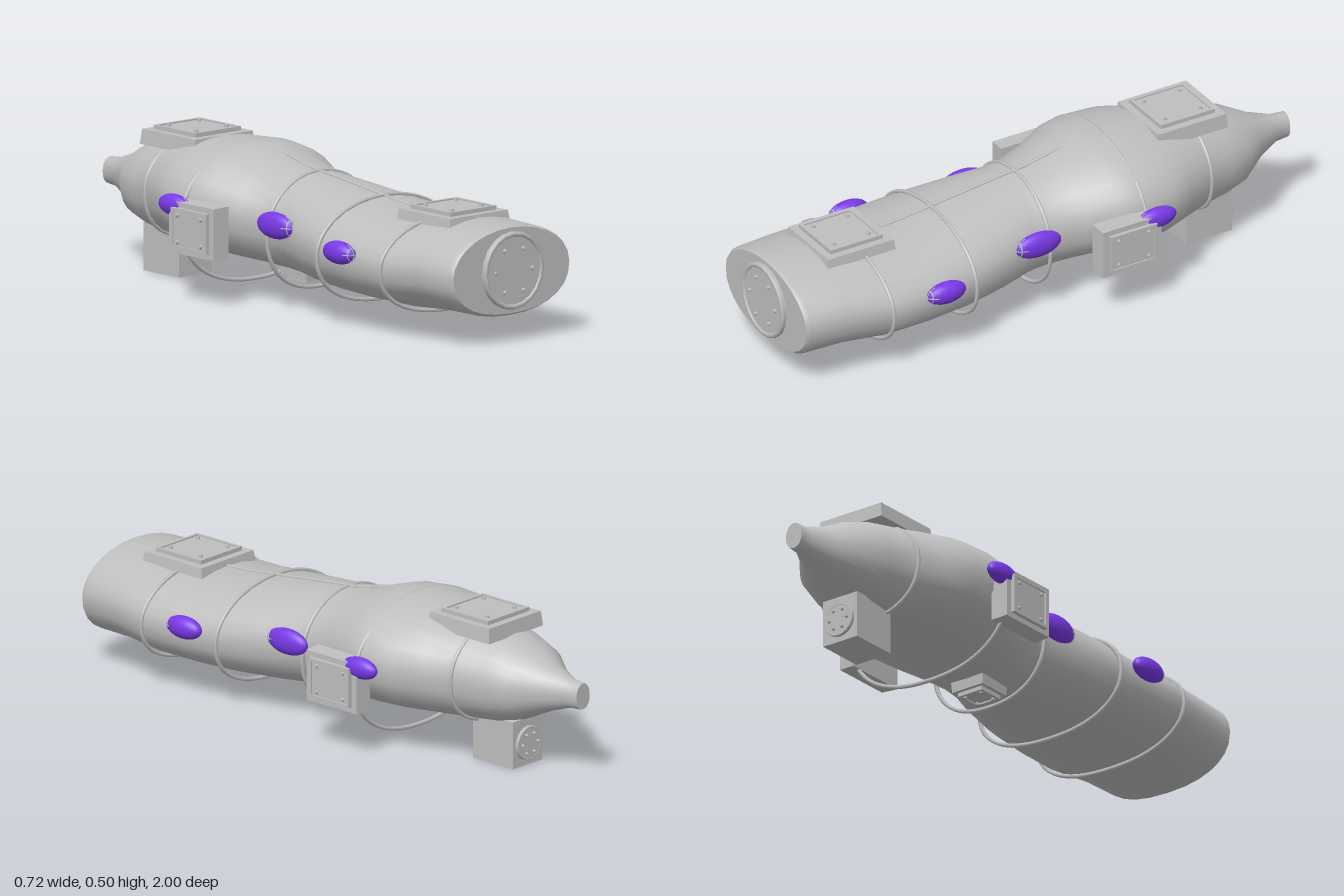
import * as THREE from 'three';

const grey = new THREE.MeshStandardMaterial({ color: 0xbebebe });
grey.name = 'hull grey';
const purple = new THREE.MeshStandardMaterial({ color: 0x7c3aed });
purple.name = 'lens purple';

// Hull stations: z, bottom, top, half width
const stations = [
  [0.975, 0.094, 0.378, 0.25], [0.96, 0.086, 0.384, 0.262], [0.82, 0.086, 0.388, 0.27],
  [0.66, 0.079, 0.376, 0.297], [0.5, 0.078, 0.378, 0.292], [0.35, 0.081, 0.394, 0.28],
  [0.2, 0.088, 0.412, 0.25], [0.08, 0.098, 0.426, 0.215], [0, 0.104, 0.434, 0.21],
  [-0.1, 0.112, 0.455, 0.24], [-0.2, 0.118, 0.487, 0.283], [-0.28, 0.122, 0.494, 0.3],
  [-0.4, 0.128, 0.488, 0.293], [-0.5, 0.132, 0.475, 0.245], [-0.6, 0.136, 0.46, 0.197],
  [-0.7, 0.145, 0.44, 0.17], [-0.78, 0.168, 0.412, 0.148], [-0.87, 0.212, 0.365, 0.078],
  [-0.95, 0.24, 0.338, 0.036], [-1, 0.245, 0.334, 0.032],
];

function add(parent, name, geometry, material, x = 0, y = 0, z = 0) {
  const mesh = new THREE.Mesh(geometry, material);
  mesh.name = name;
  mesh.position.set(x, y, z);
  parent.add(mesh);
  return mesh;
}

// Point on a hull section: round above, slightly fuller below
function sectionPoint([z, b, t, w], a) {
  const c = Math.cos(a), s = Math.sin(a), p = s < 0 ? 0.87 : 1;
  const soften = (v) => Math.sign(v) * Math.abs(v) ** p;
  return [w * soften(c), (b + t) / 2 + ((t - b) / 2) * soften(s), z];
}

// Smooth skin joining the sections
function hullSkin() {
  const n = 28, pos = [], idx = [];
  for (const station of stations)
    for (let i = 0; i < n; i++) pos.push(...sectionPoint(station, (i / n) * Math.PI * 2));
  for (let s = 0; s < stations.length - 1; s++)
    for (let i = 0; i < n; i++) {
      const a = s * n + i, b = s * n + (i + 1) % n;
      idx.push(a, a + n, b, b, a + n, b + n);
    }
  const g = new THREE.BufferGeometry();
  g.setAttribute('position', new THREE.Float32BufferAttribute(pos, 3));
  g.setIndex(idx);
  g.computeVertexNormals();
  return g;
}

// Flat end closing the hull
function endCap(parent, name, station, front) {
  const shape = new THREE.Shape();
  for (let i = 0; i < 28; i++) {
    const [x, y] = sectionPoint(station, (i / 28) * Math.PI * 2);
    if (i) shape.lineTo(x, y);
    else shape.moveTo(x, y);
  }
  const cap = add(parent, name, new THREE.ShapeGeometry(shape), grey, 0, 0, station[0]);
  if (!front) cap.rotation.y = Math.PI;
}

// Elliptical tube around the hull
function hoop(parent, z, bottom, top, w, r = 0.007) {
  const pts = [];
  for (let i = 0; i < 28; i++)
    pts.push(new THREE.Vector3(...sectionPoint([z, bottom, top, w], (i / 28) * Math.PI * 2)));
  add(parent, 'hoop', new THREE.TubeGeometry(new THREE.CatmullRomCurve3(pts, true), 56, r, 6, true), grey);
}

// Bolted hatch, built facing +z
function hatch(w, h, depth) {
  const g = new THREE.Group();
  g.name = 'hatch';
  const base = new THREE.CylinderGeometry(0.48 * Math.SQRT2, 0.5 * Math.SQRT2, 1, 4, 1);
  base.rotateY(Math.PI / 4).rotateX(Math.PI / 2);
  base.scale(w, h, depth);
  add(g, 'hatchBase', base.toNonIndexed(), grey, 0, 0, -depth / 2).geometry.computeVertexNormals();
  // Raised rim around the inner plate
  for (const s of [-1, 1]) {
    add(g, 'hatchRim', new THREE.BoxGeometry(w * 0.76, 0.01, 0.014), grey, 0, s * (h * 0.38 - 0.005), 0.007);
    add(g, 'hatchRim', new THREE.BoxGeometry(0.01, h * 0.76, 0.014), grey, s * (w * 0.38 - 0.005), 0, 0.007);
  }
  add(g, 'hatchPlate', new THREE.BoxGeometry(w * 0.7, h * 0.7, 0.009), grey, 0, 0, 0.0045);
  for (const x of [-1, 1])
    for (const y of [-1, 1])
      bolt(g, x * w * 0.25, y * h * 0.25, 0.012);
  return g;
}

function bolt(parent, x, y, z, r = 0.008) {
  add(parent, 'bolt', new THREE.CylinderGeometry(r * 0.8, r, 0.012, 6).rotateX(Math.PI / 2), grey, x, y, z);
}

// Round bolted disk, built facing +z
function roundCover(r, boltRadius) {
  const g = new THREE.Group();
  g.name = 'roundCover';
  add(g, 'coverDisk', new THREE.CylinderGeometry(r, r, 0.012, 20).rotateX(Math.PI / 2), grey);
  add(g, 'coverRim', new THREE.TorusGeometry(r * 0.94, r * 0.07, 8, 20), grey, 0, 0, 0.003);
  for (let i = 0; i < 6; i++) {
    const a = (i / 6) * Math.PI * 2;
    bolt(g, r * 0.62 * Math.cos(a), r * 0.62 * Math.sin(a), 0.01, boltRadius);
  }
  return g;
}

// Oval side lens with a wire guard on its front end
function lens(parent, x, y, z, rx, ry, rz) {
  const g = new THREE.Group();
  g.name = 'sideLens';
  g.position.set(x, y, z);
  g.scale.set(rx, ry, rz);
  add(g, 'lensOval', new THREE.SphereGeometry(1, 24, 16), purple);
  add(g, 'guardRing', new THREE.TorusGeometry(0.55, 0.045, 5, 20), grey, 0, 0, 0.835);
  for (const tilt of [0, Math.PI / 2]) {
    const arc = new THREE.TorusGeometry(1, 0.045, 5, 16, Math.PI * 0.6);
    arc.rotateZ(Math.PI * 0.2).rotateX(Math.PI / 2).rotateZ(tilt);
    add(g, 'guardArc', arc, grey);
  }
  parent.add(g);
}

export function createModel() {
  const model = new THREE.Group();
  model.name = 'vessel';

  add(model, 'hull', hullSkin(), grey);
  endCap(model, 'bowFace', stations[0], true);
  endCap(model, 'sternFace', stations[stations.length - 1], false);

  // Hoops hang slightly clear of the belly
  hoop(model, 0.67, 0.068, 0.38, 0.3);
  hoop(model, 0.35, 0.058, 0.397, 0.292);
  hoop(model, 0.03, 0.052, 0.432, 0.225);
  hoop(model, -0.285, 0.033, 0.489, 0.318);
  hoop(model, -0.6, 0.133, 0.455, 0.2);

  // Rod lying along the back
  const ridge = stations.filter(([z]) => z < 0.9 && z > -0.15)
    .map(([z, , top]) => new THREE.Vector3(0, top + 0.001, z));
  ridge.push(new THREE.Vector3(0, 0.478, -0.18));
  add(model, 'spineRod', new THREE.TubeGeometry(new THREE.CatmullRomCurve3(ridge), 24, 0.006, 8), grey);

  // Bow cover
  const bow = roundCover(0.128, 0.008);
  bow.position.set(0, 0.237, 0.981);
  model.add(bow);

  // Back and belly hatches
  for (const [y, z, w, d, depth, up] of [[0.398, 0.69, 0.26, 0.26, 0.035, 1],
    [0.482, -0.57, 0.26, 0.27, 0.05, 1], [0.078, -0.025, 0.13, 0.13, 0.035, -1]]) {
    const h = hatch(w, d, depth);
    h.position.set(0, y, z);
    h.rotation.x = -up * Math.PI / 2;
    model.add(h);
  }

  for (const s of [-1, 1]) {
    // Side hatches
    const h = hatch(0.23, 0.178, 0.06);
    h.position.set(s * 0.344, 0.242, -0.208);
    h.rotation.y = s * Math.PI / 2;
    model.add(h);
    // Side lenses
    lens(model, s * 0.305, 0.262, 0.475, 0.032, 0.038, 0.072);
    lens(model, s * 0.236, 0.287, 0.083, 0.028, 0.044, 0.085);
    lens(model, s * 0.323, 0.31, -0.315, 0.028, 0.036, 0.072);
  }

  // Box under the tail with a round rear cover
  add(model, 'tailBox', new THREE.BoxGeometry(0.14, 0.16, 0.175), grey, 0, 0.08, -0.668);
  const rear = roundCover(0.058, 0.006);
  rear.position.set(0, 0.075, -0.76);
  rear.rotation.y = Math.PI;
  model.add(rear);

  return model;
}
